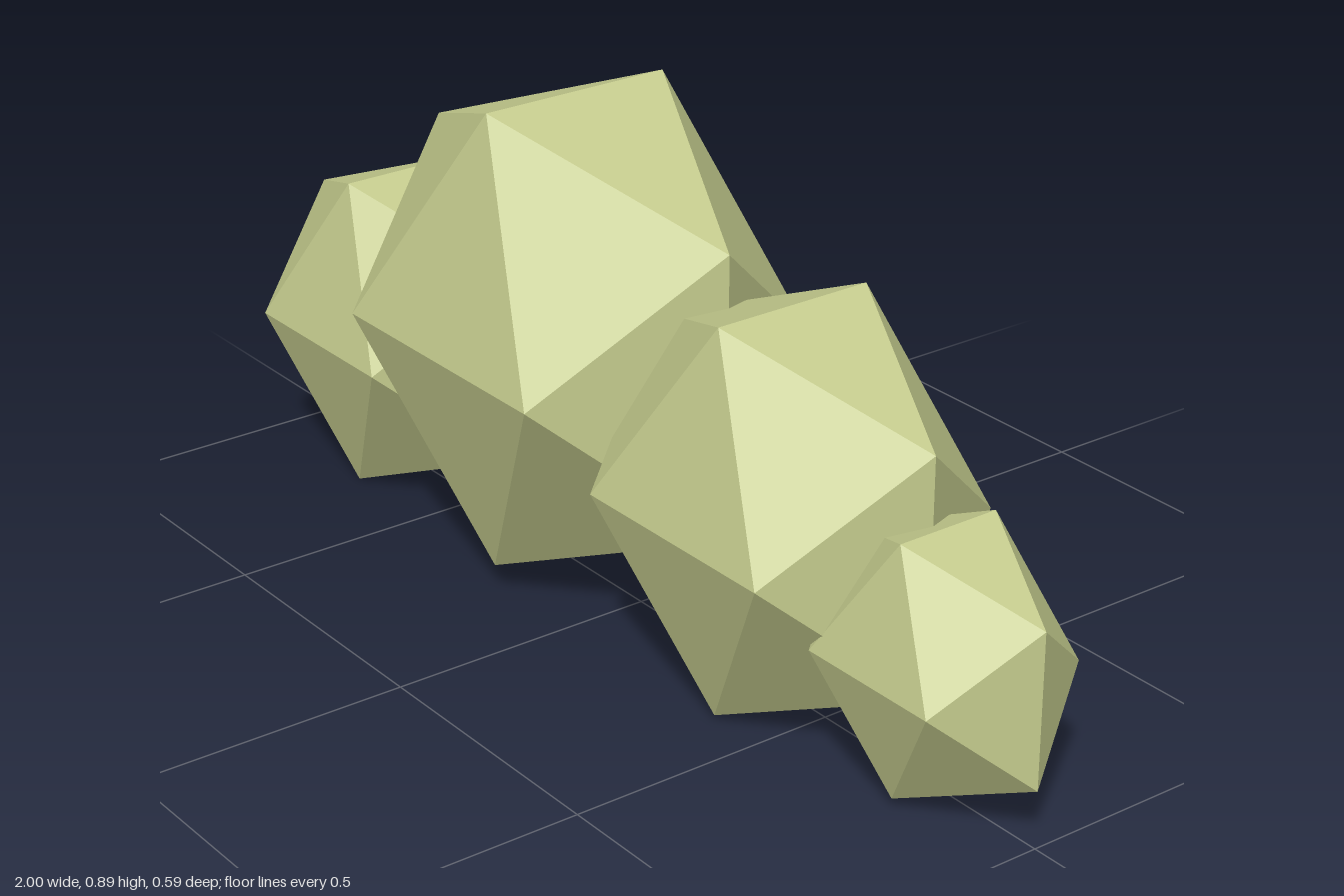
import * as THREE from 'three';

export function createModel() {
  const group = new THREE.Group();
  const leaf = new THREE.MeshStandardMaterial({ color: 0xc5cc8e, flatShading: true });
  leaf.name = 'pale leaf green';

  // Unit icosahedron with an edge on top running front to back, flattened in depth
  const clump = new THREE.IcosahedronGeometry(1, 0).rotateY(Math.PI / 2).scale(1, 1, 0.705);

  // name, centre x, centre y, radius
  const clumps = [
    ['rightClump', -0.705, 0.298, 0.347],
    ['mainClump', -0.182, 0.473, 0.491],
    ['leftClump', 0.398, 0.356, 0.405],
    ['smallLeftClump', 0.777, 0.241, 0.261],
  ];
  for (const [name, x, y, r] of clumps) {
    const mesh = new THREE.Mesh(clump, leaf);
    mesh.name = name;
    mesh.position.set(x, y, 0);
    mesh.scale.setScalar(r);
    group.add(mesh);
  }
  return group;
}
